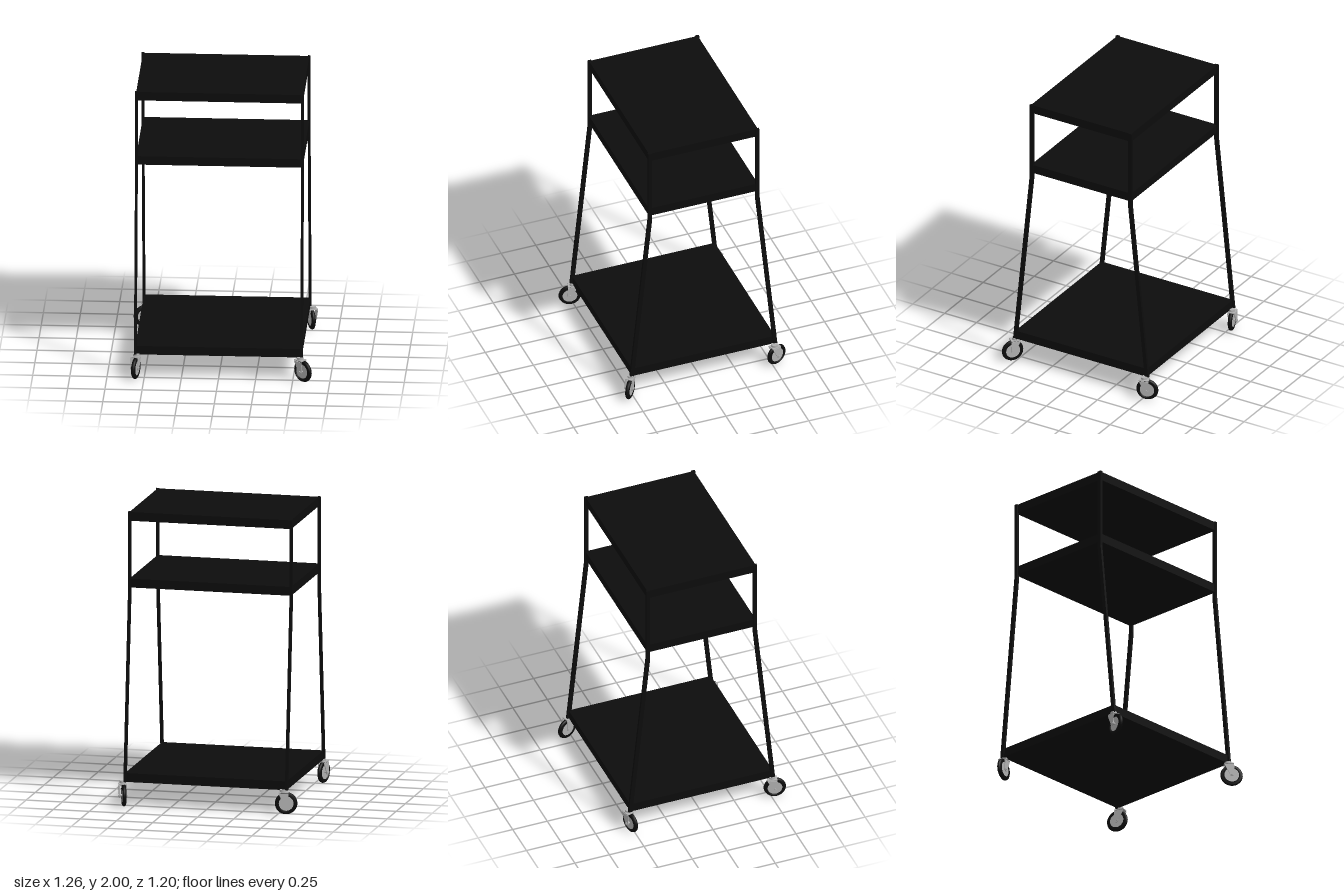
import * as THREE from 'three';

const black = new THREE.MeshStandardMaterial({ name: 'black', color: 0x0c0c0c });
const metal = new THREE.MeshStandardMaterial({ name: 'greyMetal', color: 0xb0b0b0 });
const CZ = -0.008; // frame centre in z

function add(parent, name, geometry, material, x = 0, y = 0, z = 0) {
  const mesh = new THREE.Mesh(geometry, material);
  mesh.name = name;
  mesh.position.set(x, y, z);
  parent.add(mesh);
  return mesh;
}

// Bent leg: splayed below, upright above
function leg(side, end) {
  const points = [[0.4, 2], [0.4, 1.45], [0.53, 0.17], [0.503, 0.17], [0.374, 1.43], [0.374, 2]];
  const shape = new THREE.Shape(points.map(([z, y]) => new THREE.Vector2(z * end, y)));
  const geometry = new THREE.ExtrudeGeometry(shape, { depth: 0.018, bevelEnabled: false });
  geometry.translate(0, 0, -0.009).rotateY(-Math.PI / 2);
  return { geometry, x: side * 0.559 };
}

// Tapered fork cheek reaching from the swivel to the axle
function cheekGeometry() {
  const s = new THREE.Shape();
  s.moveTo(-0.052, 0.15);
  s.lineTo(0.014, 0.15);
  s.lineTo(0.016, 0.08);
  s.absarc(0, 0.08, 0.016, 0, -Math.PI, true);
  s.closePath();
  return new THREE.ExtrudeGeometry(s, { depth: 0.005, bevelEnabled: false, curveSegments: 8 });
}

// Swivel caster; the wheel trails along local +x
function caster(x, z, ux, uz) {
  const g = new THREE.Group();
  g.name = 'caster';
  g.position.set(x, 0, z);
  g.rotation.y = Math.atan2(-uz, ux);

  // Rounded tyre ring
  const profile = [[0.05, -0.013], [0.066, -0.013], [0.073, -0.008], [0.076, 0],
    [0.073, 0.008], [0.066, 0.013], [0.05, 0.013], [0.05, -0.013]];
  const tyre = new THREE.LatheGeometry(profile.map(([r, h]) => new THREE.Vector2(r, h)), 32);
  add(g, 'tyre', tyre.rotateX(Math.PI / 2), black, 0, 0.08, 0);

  // Hub disc and axle
  add(g, 'hub', new THREE.CylinderGeometry(0.051, 0.051, 0.022, 32).rotateX(Math.PI / 2), metal, 0, 0.08, 0);
  add(g, 'axle', new THREE.CylinderGeometry(0.009, 0.009, 0.064, 12).rotateX(Math.PI / 2), metal, 0, 0.08, 0.007);

  // Fork and swivel
  const cheek = cheekGeometry();
  add(g, 'forkCheek', cheek, metal, 0, 0, 0.028);
  add(g, 'forkCheek', cheek, metal, 0, 0, -0.021);
  add(g, 'forkCrown', new THREE.BoxGeometry(0.066, 0.006, 0.054), metal, -0.019, 0.157, 0.006);
  add(g, 'swivel', new THREE.CylinderGeometry(0.022, 0.022, 0.02, 20), metal, -0.021, 0.165, 0.004);
  return g;
}

export function createModel() {
  const model = new THREE.Group();
  model.name = 'cart';

  // Three shelves
  for (const [name, y, depth] of [['topShelf', 1.968, 0.784], ['middleShelf', 1.51, 0.784], ['bottomShelf', 0.2, 1.03]]) {
    add(model, name, new THREE.BoxGeometry(1.12, 0.06, depth), black, 0, y, CZ);
  }

  // Four legs
  for (const side of [-1, 1]) for (const end of [-1, 1]) {
    const { geometry, x } = leg(side, end);
    add(model, 'leg', geometry, black, x, 0, CZ);
  }

  // Casters, each swivelled differently
  for (const [x, z, ux, uz] of [
    [-0.555, -0.52, -0.96, 0.27], [0.566, -0.531, -0.32, -0.95],
    [-0.555, 0.524, -0.25, 0.97], [0.57, 0.524, 0.77, 0.64],
  ]) model.add(caster(x, z, ux, uz));

  return model;
}
